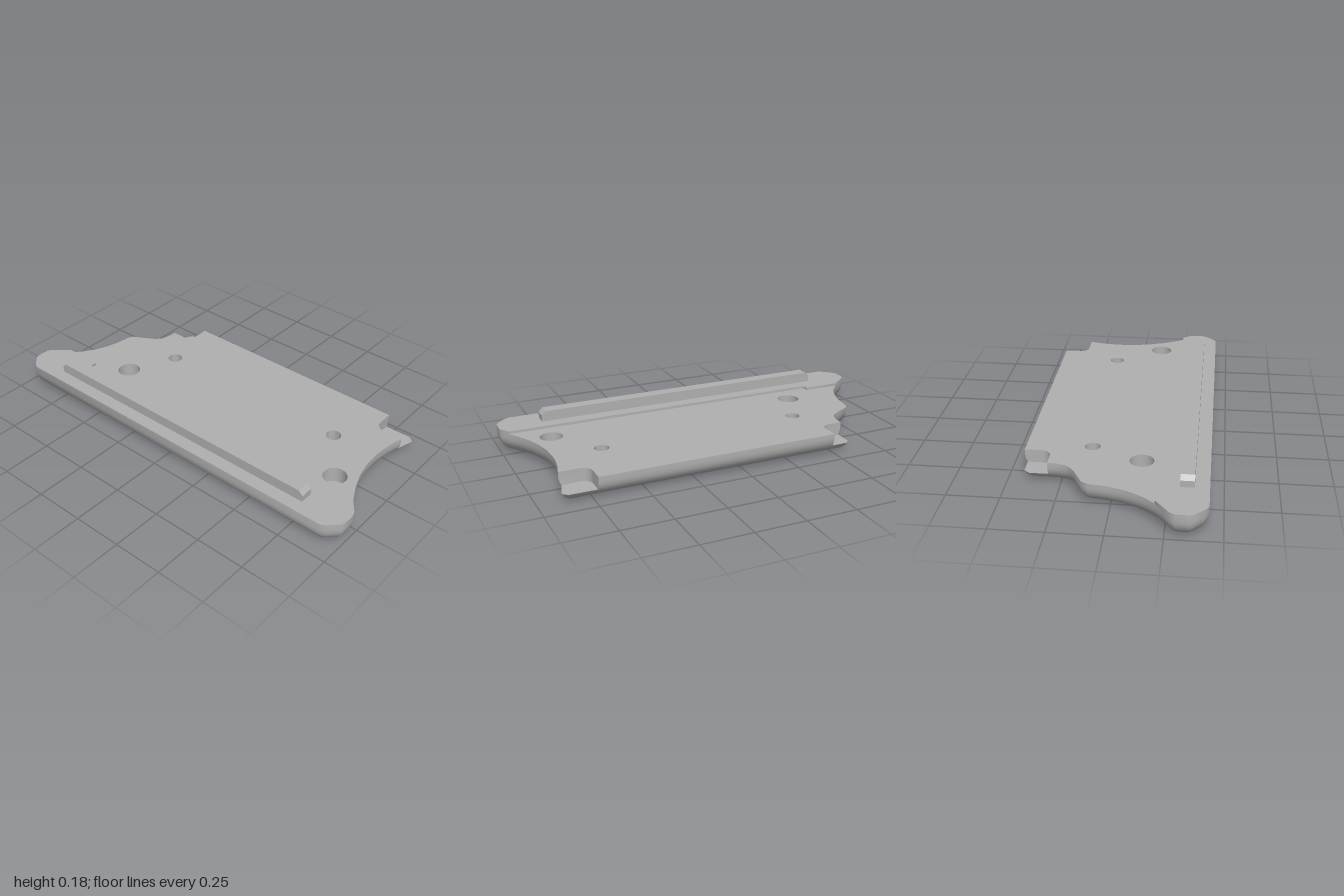
import * as THREE from 'three';
import { mergeGeometries, toCreasedNormals } from 'three/addons/utils/BufferGeometryUtils.js';

const R = 0.09;        // bottom edge rounding
const DECK = 0.11;     // main top surface
const STRIP = 0.124;   // raised strip top
const FLOOR = 0.045;   // corner pocket floor

// Plate outline as [x, z]: along the back, down the right edge, along the front, up the left edge
const outline = [
  [-0.435, -0.925], [-0.42, -0.948], [-0.372, -0.995], [-0.355, -1], [-0.295, -1], [-0.27, -0.985],
  [-0.24, -0.945], [-0.205, -0.902], [-0.155, -0.858], [-0.1, -0.824], [-0.04, -0.798], [0.02, -0.782],
  [0.1, -0.771], [0.128, -0.757], [0.175, -0.672], [0.195, -0.641], [0.22, -0.621], [0.26, -0.608],
  [0.308, -0.605], [0.4, -0.605], [0.435, -0.58], [0.435, -0.49],
  [0.435, 0.73], [0.435, 0.87], [0.405, 0.905], [0.308, 0.877],
  [0.25, 0.861], [0.18, 0.851], [0.12, 0.848], [0.04, 0.853], [-0.04, 0.869], [-0.12, 0.898],
  [-0.19, 0.933], [-0.24, 0.965], [-0.275, 0.992], [-0.295, 1], [-0.355, 1], [-0.372, 0.995],
  [-0.42, 0.948], [-0.435, 0.925],
];
const N = outline.length;
const indexOf = (x, z) => outline.findIndex(p => p[0] === x && p[1] === z);

// Rounded inner corner of a pocket, from the back or right edge round to the other
function pocketPath(z, dir) {
  const path = [], r = 0.045;
  for (let i = 0; i <= 8; i++) {
    const a = (i / 8) * Math.PI / 2;
    path.push([0.308 + r - r * Math.cos(a), z - dir * (r - r * Math.sin(a))]);
  }
  return dir > 0 ? path : path.reverse();
}
const pockets = [
  { from: indexOf(0.308, -0.605), to: indexOf(0.435, -0.49), path: pocketPath(-0.49, 1) },
  { from: indexOf(0.435, 0.73), to: indexOf(0.308, 0.877), path: pocketPath(0.73, -1) },
];

// Outline moved inward by d with mitred corners; edges that would flip are collapsed
function inset(d) {
  const normal = i => {
    const a = outline[(i + N) % N], b = outline[(i + 1) % N];
    const dx = b[0] - a[0], dz = b[1] - a[1], l = Math.hypot(dx, dz);
    return [-dz / l, dx / l];
  };
  const ring = outline.map((p, i) => {
    const m = normal(i - 1), n = normal(i), k = d / (1 + m[0] * n[0] + m[1] * n[1]);
    return [p[0] + (m[0] + n[0]) * k, p[1] + (m[1] + n[1]) * k];
  });
  for (let i = 0; i < N; i++) {
    const j = (i + 1) % N, a = ring[i], b = ring[j];
    const dot = (b[0] - a[0]) * (outline[j][0] - outline[i][0]) + (b[1] - a[1]) * (outline[j][1] - outline[i][1]);
    if (dot < 0) ring[i] = ring[j] = [(a[0] + b[0]) / 2, (a[1] + b[1]) / 2];
  }
  return ring;
}

// Same ring with the two corner pockets cut away
function cutPockets(ring) {
  const [p, q] = pockets;
  return [...ring.slice(0, p.from + 1), ...p.path, ...ring.slice(p.to, q.from + 1), ...q.path, ...ring.slice(q.to)];
}

// Side skin through a stack of { y, ring } layers
function skin(layers) {
  const pos = [];
  for (let k = 0; k < layers.length - 1; k++) {
    const lo = layers[k], hi = layers[k + 1], n = lo.ring.length;
    for (let i = 0; i < n; i++) {
      const j = (i + 1) % n;
      const at = (l, s) => [l.ring[s][0], l.y, l.ring[s][1]];
      pos.push(...at(lo, i), ...at(hi, i), ...at(lo, j), ...at(lo, j), ...at(hi, i), ...at(hi, j));
    }
  }
  const g = new THREE.BufferGeometry();
  g.setAttribute('position', new THREE.Float32BufferAttribute(pos, 3));
  return g;
}

// Flat face at height y, with round holes [x, z, radius]
function cap(ring, y, up, holes = []) {
  const s = up ? -1 : 1;
  const shape = new THREE.Shape(ring.map(p => new THREE.Vector2(p[0], s * p[1])));
  for (const [x, z, r] of holes) {
    shape.holes.push(new THREE.Path().absarc(x, s * z, r, 0, Math.PI * 2, true));
  }
  const g = new THREE.ShapeGeometry(shape, 16).rotateX(s * Math.PI / 2).translate(0, y, 0).toNonIndexed();
  g.deleteAttribute('uv');
  g.deleteAttribute('normal');
  return g;
}

export function createModel() {
  const group = new THREE.Group();
  const grey = new THREE.MeshStandardMaterial({ color: 0xb0b0b0, side: THREE.DoubleSide });
  grey.name = 'grey';
  const add = (name, geometry) => {
    const mesh = new THREE.Mesh(geometry, grey);
    mesh.name = name;
    group.add(mesh);
    return mesh;
  };

  // Plate body: rounded lower edge, then upright walls with the pockets cut out
  const layer = deg => {
    const a = deg * Math.PI / 180;
    return { y: R * (1 - Math.cos(a)), ring: inset(R * (1 - Math.sin(a))) };
  };
  const lower = [0, 10, 20, 30, 40, 50, 60].map(layer);
  const upper = [60, 70, 80, 90].map(layer);
  upper.push({ y: DECK, ring: inset(0) });
  upper.forEach(l => { l.ring = cutPockets(l.ring); });

  const bores = [[0.122, -0.43], [0.122, 0.61]];
  const sockets = [[-0.12, -0.542], [-0.12, 0.785]];
  const floorRing = lower[6].ring;
  const body = mergeGeometries([
    skin(lower),
    skin(upper),
    cap(lower[0].ring, 0, false, bores.map(b => [...b, 0.073])),
    cap(upper[4].ring, DECK, true, [...bores.map(b => [...b, 0.037]), ...sockets.map(b => [...b, 0.057])]),
    ...pockets.map(p => cap([...floorRing.slice(p.from, p.to + 1), ...[...p.path].reverse()], FLOOR, true)),
  ]);
  add('plate', toCreasedNormals(body, 0.9));

  // Stepped screw bores and blind round sockets
  const hole = (name, profile, [x, z]) => {
    const g = new THREE.LatheGeometry(profile.map(p => new THREE.Vector2(...p)), 32);
    add(name, toCreasedNormals(g, 0.6)).position.set(x, 0, z);
  };
  bores.forEach(b => hole('screwBore', [[0.037, DECK], [0.037, 0.05], [0.073, 0.05], [0.073, 0]], b));
  sockets.forEach(b => hole('roundSocket', [[0.057, DECK], [0.057, 0.03], [0, 0.03]], b));

  // Raised strip along the left edge, wider at the back
  const backEnd = indexOf(-0.205, -0.902), frontEnd = indexOf(-0.24, 0.965);
  const stripRing = [
    ...outline.slice(0, backEnd + 1), [-0.205, -0.71], [-0.23, -0.71], [-0.24, -0.7], ...outline.slice(frontEnd),
  ];
  const strip = mergeGeometries([
    skin([{ y: DECK, ring: stripRing }, { y: STRIP, ring: stripRing }]),
    cap(stripRing, STRIP, true),
  ]);
  add('raisedStrip', toCreasedNormals(strip, 0.9));

  // Long rail with chamfered ends
  const top = 0.177, c = 0.021, h = 0.78;
  const side = new THREE.Shape([
    [-h, STRIP - 0.01], [h, STRIP - 0.01], [h, top - c], [h - c, top], [c - h, top], [-h, top - c],
  ].map(p => new THREE.Vector2(...p)));
  const rail = new THREE.ExtrudeGeometry(side, { depth: 0.064, bevelEnabled: false });
  add('rail', rail.rotateY(Math.PI / 2)).position.x = -0.369;

  return group;
}
